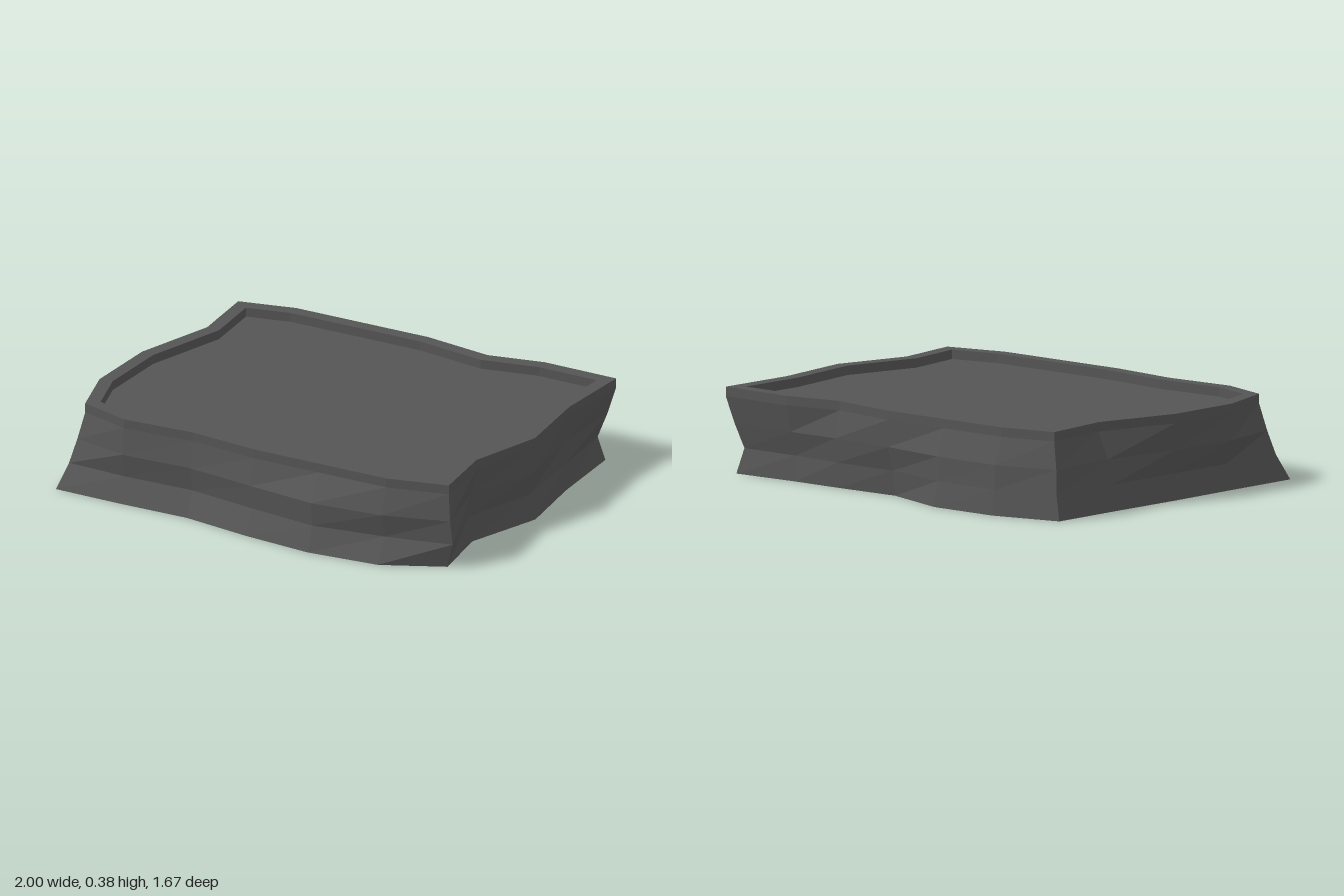
import * as THREE from 'three';

// Outlines as x,z pairs, counter-clockwise from above:
// front (left to right), right side, back (right to left), left side.
const FOOT = [
  -0.995, 0.755, -0.67, 0.76, -0.33, 0.755, 0, 0.805, 0.33, 0.835, 0.67, 0.805, 0.945, 0.67,
  0.89, 0.36, 1, 0, 0.945, -0.36,
  0.915, -0.755, 0.58, -0.74, 0.33, -0.74, 0, -0.73, -0.33, -0.84, -0.67, -0.84, -0.995, -0.76,
  -0.995, -0.37, -1, 0, -0.995, 0.37,
];
const WAIST = [
  -0.96, 0.7, -0.67, 0.715, -0.33, 0.705, 0, 0.755, 0.33, 0.795, 0.67, 0.745, 0.975, 0.677,
  0.87, 0.36, 0.97, 0, 0.93, -0.37,
  0.89, -0.73, 0.59, -0.73, 0.33, -0.745, 0, -0.745, -0.33, -0.82, -0.67, -0.825, -0.97, -0.75,
  -0.965, -0.37, -0.965, 0, -0.965, 0.37,
];
const SHOULDER = [
  -0.935, 0.67, -0.67, 0.735, -0.33, 0.72, 0, 0.765, 0.33, 0.805, 0.67, 0.77, 0.965, 0.682,
  0.885, 0.36, 0.995, 0, 0.93, -0.38,
  0.925, -0.755, 0.59, -0.76, 0.33, -0.757, 0, -0.775, -0.33, -0.82, -0.67, -0.82, -0.96, -0.74,
  -0.94, -0.38, -0.99, 0, -0.995, 0.37,
];
const RIM = [
  -0.91, 0.645, -0.67, 0.72, -0.33, 0.7, 0, 0.735, 0.33, 0.735, 0.67, 0.735, 0.95, 0.667,
  0.905, 0.35, 0.998, 0, 0.945, -0.39,
  0.955, -0.78, 0.59, -0.785, 0.33, -0.73, 0, -0.78, -0.33, -0.78, -0.67, -0.78, -0.93, -0.72,
  -0.895, -0.39, -0.998, 0, -0.998, 0.37,
];

const outline = (flat) =>
  Array.from({ length: flat.length / 2 }, (_, i) => new THREE.Vector2(flat[2 * i], flat[2 * i + 1]));

// Mitred inward offset of a closed outline
function inset(points, d) {
  const n = points.length;
  const inward = (a, b) => {
    const e = b.clone().sub(a).normalize();
    return new THREE.Vector2(e.y, -e.x);
  };
  return points.map((p, i) => {
    const n1 = inward(points[(i + n - 1) % n], p);
    const n2 = inward(p, points[(i + 1) % n]);
    return p.clone().add(n1.clone().add(n2).multiplyScalar(d / (1 + n1.dot(n2))));
  });
}

function meshFrom(name, positions, material) {
  const geo = new THREE.BufferGeometry();
  geo.setAttribute('position', new THREE.Float32BufferAttribute(positions, 3));
  geo.computeVertexNormals(); // unshared corners give flat facets
  const mesh = new THREE.Mesh(geo, material);
  mesh.name = name;
  return mesh;
}

// Wall of facets through a stack of [outline, height] rings
function loft(name, rings, material) {
  const pos = [];
  const put = (r, j) => {
    const [pts, y] = rings[r];
    const p = pts[j % pts.length];
    pos.push(p.x, y, p.y);
  };
  for (let r = 0; r < rings.length - 1; r++) {
    for (let j = 0; j < rings[r][0].length; j++) {
      put(r, j); put(r, j + 1); put(r + 1, j + 1);
      put(r, j); put(r + 1, j + 1); put(r + 1, j);
    }
  }
  return meshFrom(name, pos, material);
}

// Flat face filling an outline, facing up or down
function cap(name, points, y, up, material) {
  const flat = points.map((p) => new THREE.Vector2(p.x, -p.y));
  const pos = [];
  for (const tri of THREE.ShapeUtils.triangulateShape(flat, [])) {
    for (const i of up ? tri : [...tri].reverse()) pos.push(points[i].x, y, points[i].y);
  }
  return meshFrom(name, pos, material);
}

export function createModel() {
  const stone = new THREE.MeshStandardMaterial({ color: 0x555556 });
  stone.name = 'dark stone';

  const foot = outline(FOOT);
  const rim = outline(RIM);
  const inner = inset(rim, 0.062);
  const top = 0.385, floor = 0.343;

  const group = new THREE.Group();
  group.name = 'stoneSlab';
  group.add(
    // rough outer sides
    loft('sides', [[foot, 0], [outline(WAIST), 0.113], [outline(SHOULDER), 0.222], [rim, floor]], stone),
    // raised lip around the recessed top
    loft('rim', [[rim, floor], [rim, top], [inner, top], [inner, floor]], stone),
    cap('topSurface', inner, floor, true, stone),
    cap('underside', foot, 0, false, stone),
  );
  return group;
}
